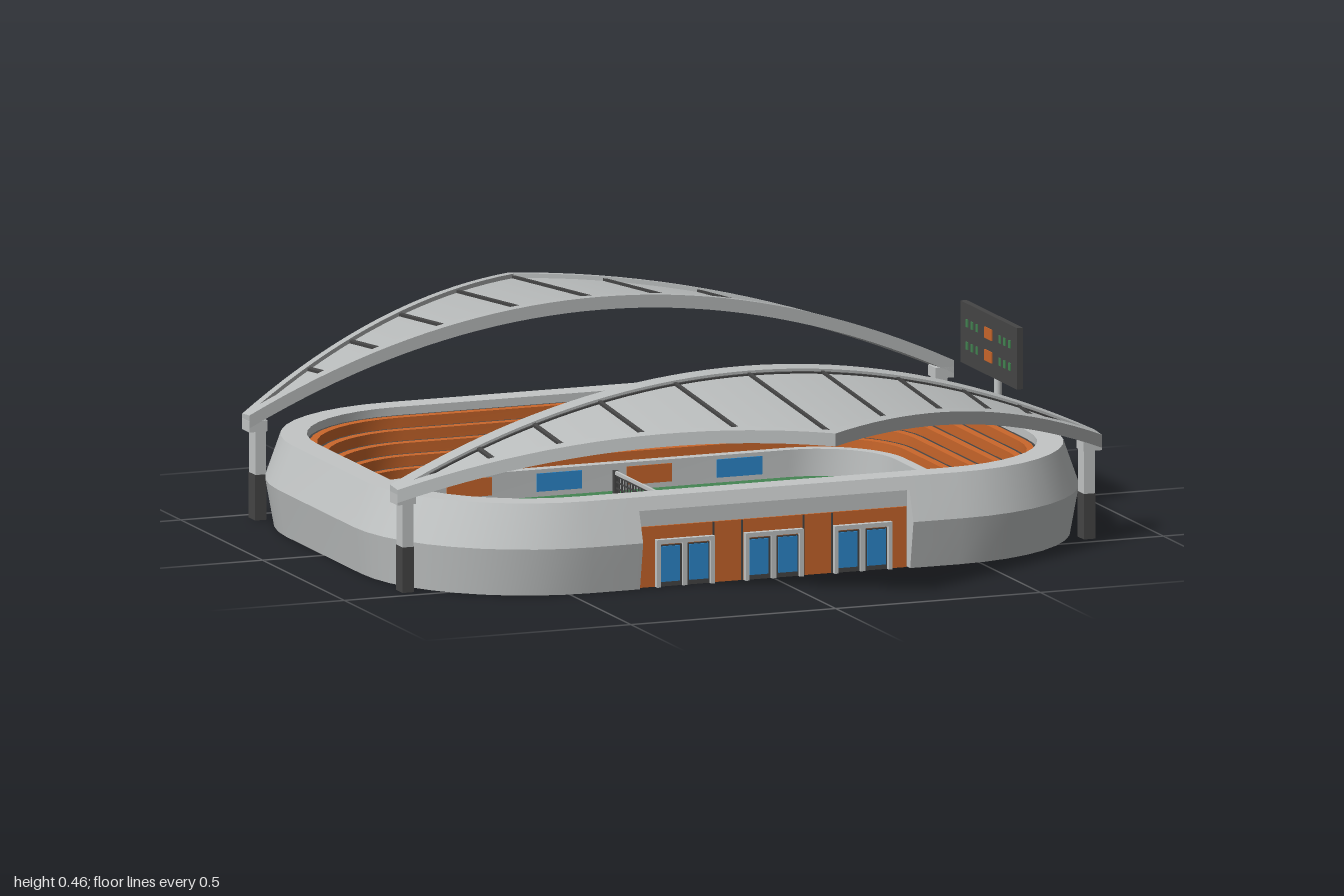
import * as THREE from 'three';
import { toCreasedNormals } from 'three/addons/utils/BufferGeometryUtils.js';

const mat = (name, color) => new THREE.MeshStandardMaterial({ name, color, side: THREE.DoubleSide });

// Rounded-rectangle paths: corner centre x, z and outward angle
const CX = 0.45, CZ = 0.23, GAP = 0.33;
function corner(x, z, from, n = 10) {
  return Array.from({ length: n + 1 }, (_, i) => [x, z, from + (i / n) * Math.PI / 2]);
}
const Q = Math.PI / 2;
const loop = [...corner(CX, CZ, 0), ...corner(CX, -CZ, Q), ...corner(-CX, -CZ, 2 * Q), ...corner(-CX, CZ, 3 * Q), [CX, CZ, 0]];
const half = [[GAP, CZ, 0], ...corner(CX, CZ, 0), ...corner(CX, -CZ, Q), [GAP, -CZ, 2 * Q]];
const straight = [[-GAP, CZ, 0], [GAP, CZ, 0]];

// Sweep a profile of [distance outward, height] along a path
function sweep(profile, path, caps = false) {
  const at = ([x, z, a], [d, y]) => [x + Math.sin(a) * d, y, z + Math.cos(a) * d];
  const pos = [];
  for (let i = 0; i < path.length - 1; i++) {
    for (let j = 0; j < profile.length - 1; j++) {
      const a = at(path[i], profile[j]), b = at(path[i + 1], profile[j]);
      const c = at(path[i + 1], profile[j + 1]), d = at(path[i], profile[j + 1]);
      pos.push(...a, ...b, ...c, ...a, ...c, ...d);
    }
  }
  if (caps) {
    const first = path[0], last = path[path.length - 1];
    for (let j = 1; j < profile.length - 1; j++) {
      pos.push(...at(first, profile[0]), ...at(first, profile[j]), ...at(first, profile[j + 1]));
      pos.push(...at(last, profile[0]), ...at(last, profile[j + 1]), ...at(last, profile[j]));
    }
  }
  const g = new THREE.BufferGeometry();
  g.setAttribute('position', new THREE.Float32BufferAttribute(pos, 3));
  return toCreasedNormals(g, 0.3);
}

// Arched canopy: half width, inner edge, outer edge and height
const W = 0.86, Z_IN = 0.43;
const zOut = x => 0.475 + 0.525 * (1 - Math.abs(x) / W);
const roofY = (x, z) => 0.445 - 0.285 * x * x - 0.088 * (z - Z_IN);
function roofSlab(x0, x1, zA, zB, lift, thick, nx) {
  const g = new THREE.BoxGeometry(1, 1, 1, nx, 1, 1);
  const p = g.attributes.position;
  for (let i = 0; i < p.count; i++) {
    const x = x0 + (p.getX(i) + 0.5) * (x1 - x0);
    const z = zA(x) + (p.getZ(i) + 0.5) * (zB(x) - zA(x));
    p.setXYZ(i, x, roofY(x, z) + lift + (p.getY(i) - 0.5) * thick, z);
  }
  return toCreasedNormals(g, 0.3);
}

export function createModel() {
  const model = new THREE.Group();
  model.name = 'tennisStadium';
  const grey = mat('concrete grey', 0xc3c6c6), roofGrey = mat('roof grey', 0xb9bcbc);
  const dark = mat('dark grey', 0x464646), orange = mat('clay orange', 0xcb672b);
  const green = mat('court green', 0x448452), blue = mat('door blue', 0x2d8ad0);
  const white = mat('line white', 0xd2d4d4);

  const add = (parent, name, geometry, material) => {
    const m = new THREE.Mesh(geometry, material);
    m.name = name;
    parent.add(m);
    return m;
  };
  const box = (parent, name, material, w, h, d, x, y, z) => {
    const m = add(parent, name, new THREE.BoxGeometry(w, h, d), material);
    m.position.set(x, y, z);
    return m;
  };
  const group = (name, turn = 0) => {
    const g = new THREE.Group();
    g.name = name;
    g.rotation.y = turn;
    model.add(g);
    return g;
  };

  // Ground and court
  box(model, 'greenGround', green, 1.4, 0.005, 1.06, 0, 0.0045, 0);
  box(model, 'clayCourt', orange, 1.1, 0.01, 0.67, 0, 0.005, 0);
  const lines = group('courtLines');
  const line = (w, d, x, z) => box(lines, 'courtLine', white, w, 0.003, d, x, 0.0105, z);
  for (const s of [-1, 1]) {
    line(1.11, 0.012, 0, s * 0.335);
    line(1.11, 0.012, 0, s * 0.222);
    line(0.012, 0.67, s * 0.549, 0);
    line(0.01, 0.444, s * 0.264, 0);
  }
  line(0.528, 0.01, 0, 0);

  // Net
  const net = group('net');
  for (let i = 0; i <= 40; i++) box(net, 'netCord', dark, 0.003, 0.05, 0.003, 0, 0.037, -0.34 + i * 0.017);
  for (let i = 0; i < 4; i++) box(net, 'netCord', dark, 0.003, 0.003, 0.68, 0, 0.015 + i * 0.014, 0);
  box(net, 'netBand', grey, 0.006, 0.008, 0.68, 0, 0.064, 0);
  for (const s of [-1, 1]) box(net, 'netPost', dark, 0.01, 0.065, 0.01, 0, 0.0365, s * 0.345);

  // Barrier around the court with advertising boards
  add(model, 'barrier', sweep([[0.185, 0.002], [0.21, 0.002], [0.21, 0.07], [0.185, 0.07], [0.185, 0.002]], loop), grey);
  for (const s of [-1, 1]) {
    [-0.33, -0.11, 0.11, 0.33].forEach((x, i) =>
      box(model, 'boardPanel', i % 2 ? blue : orange, 0.11, 0.042, 0.004, x, 0.04, s * 0.414));
  }

  // Stepped seating with dark gangways
  const steps = [], N = 5, run = 0.023, rise = 0.025;
  for (let i = N; i > 0; i--) {
    const y = 0.065 + i * rise, d = 0.21 + i * run;
    steps.push([d, y], [d - run, y]);
    add(model, 'gangway', sweep([[d, y + 0.001], [d - 0.006, y + 0.001]], loop), dark);
  }
  steps.push([0.21, 0.06]);
  add(model, 'seatingTiers', sweep(steps, loop), orange);

  // Outer wall, left open for the two entrances
  const wall = [[0.37, 0], [0.4, 0], [0.42, 0.11], [0.385, 0.21], [0.325, 0.21], [0.325, 0.185]];
  const lintel = [[0.38, 0], [0.38, 0.18], [0.3955, 0.18], [0.385, 0.21], [0.325, 0.21], [0.325, 0.185]];
  for (const turn of [0, Math.PI]) {
    add(model, 'outerWall', sweep(wall, half, true), grey).rotation.y = turn;

    const entrance = group('entrance', turn);
    add(entrance, 'entranceLintel', sweep(lintel, straight), grey);
    box(entrance, 'entrancePanel', orange, 0.655, 0.14, 0.006, 0, 0.07, 0.612);
    for (const x of [-0.145, -0.075, 0.075, 0.145]) box(entrance, 'panelJoint', dark, 0.004, 0.14, 0.004, x, 0.07, 0.615);
    for (const x of [-0.217, 0, 0.217]) {
      for (const s of [-1, 1]) {
        box(entrance, 'doorFrameSide', grey, 0.009, 0.105, 0.016, x + s * 0.066, 0.0525, 0.621);
        box(entrance, 'doorSurround', dark, 0.058, 0.096, 0.004, x + s * 0.034, 0.048, 0.616);
        box(entrance, 'doorLeaf', blue, 0.046, 0.082, 0.006, x + s * 0.035, 0.052, 0.618);
      }
      box(entrance, 'doorMullion', grey, 0.012, 0.1, 0.01, x, 0.05, 0.619);
      box(entrance, 'doorFrameTop', grey, 0.141, 0.01, 0.016, x, 0.105, 0.621);
    }

    // Canopy with raised rim, ribs and legs
    const canopy = group('canopy', turn);
    const inner = () => Z_IN, innerRim = () => Z_IN + 0.04, outerRim = x => zOut(x) - 0.03;
    add(canopy, 'roofSheet', roofSlab(-W, W, inner, zOut, 0, 0.02, 40), roofGrey);
    add(canopy, 'innerRim', roofSlab(-W, W, inner, innerRim, 0.01, 0.012, 40), roofGrey);
    add(canopy, 'outerRim', roofSlab(-W, W, outerRim, zOut, 0.01, 0.012, 40), roofGrey);
    add(canopy, 'rimJoint', roofSlab(-0.78, 0.78, innerRim, () => Z_IN + 0.046, 0.004, 0.005, 40), dark);
    for (const x of [-0.66, -0.525, -0.365, -0.18, 0, 0.18, 0.365, 0.525, 0.66]) {
      add(canopy, 'roofRib', roofSlab(x - 0.004, x + 0.004, innerRim, outerRim, 0.006, 0.008, 2), dark);
    }
    for (const s of [-1, 1]) {
      box(canopy, 'legFoot', dark, 0.028, 0.105, 0.04, s * 0.832, 0.0525, 0.45);
      box(canopy, 'legUpper', grey, 0.026, 0.13, 0.038, s * 0.832, 0.165, 0.45);
      box(canopy, 'legBracket', grey, 0.045, 0.025, 0.045, s * 0.838, 0.217, 0.4525);
    }
  }

  // Scoreboard facing the court
  const board = group('scoreboard');
  box(board, 'scorePanel', dark, 0.015, 0.142, 0.345, 0.784, 0.364, -0.008);
  const pole = add(board, 'scorePole', new THREE.CylinderGeometry(0.009, 0.009, 0.185, 12), grey);
  pole.position.set(0.8, 0.2925, -0.01);
  for (const y of [0.338, 0.39]) {
    box(board, 'centreDisplay', orange, 0.003, 0.026, 0.045, 0.776, y, -0.008);
    for (const s of [-1, 1]) {
      for (let i = 0; i < 3; i++) box(board, 'scoreDisplay', green, 0.003, 0.018, 0.012, 0.776, y, -0.008 + s * (0.07 + i * 0.03));
    }
  }
  return model;
}
